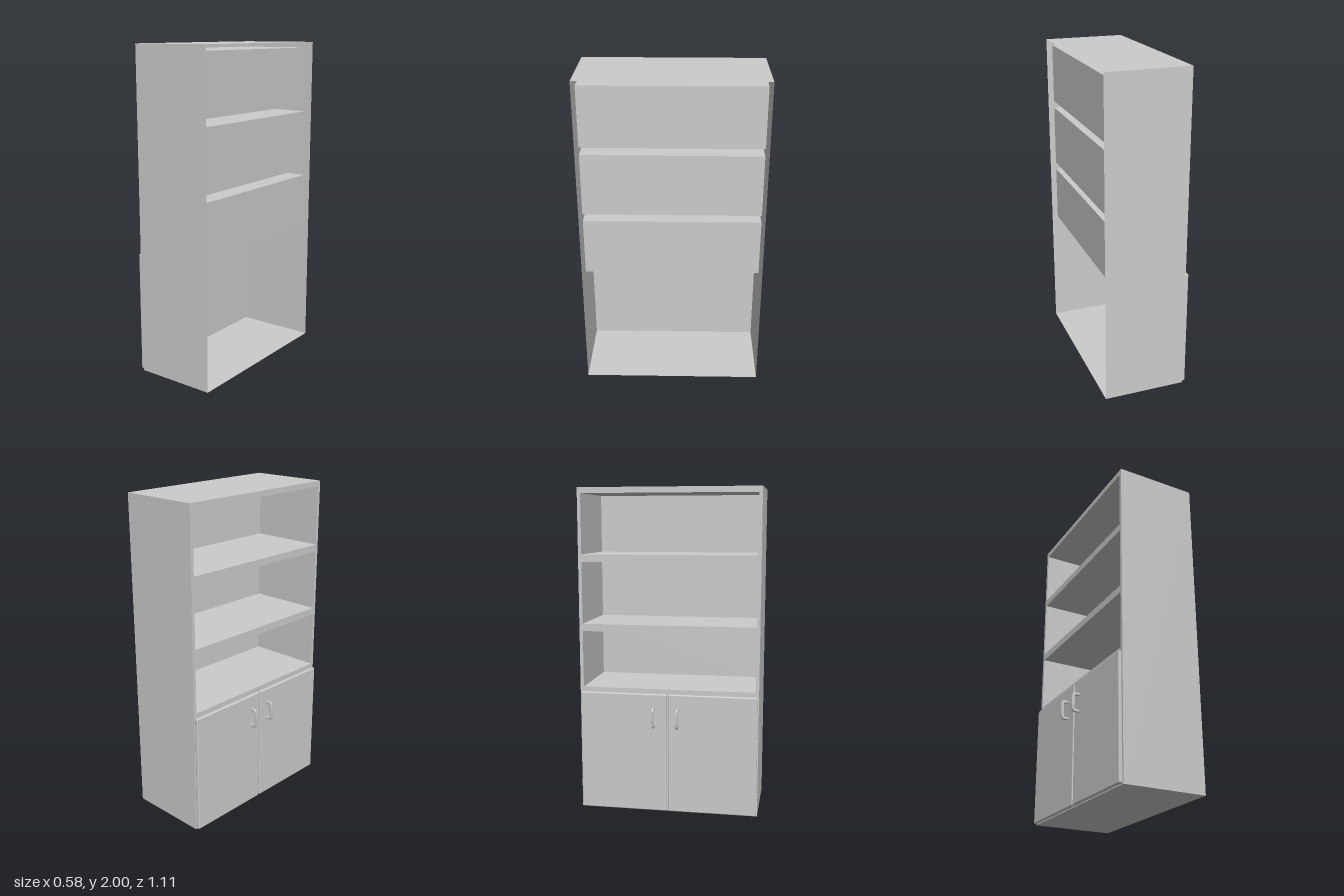
import * as THREE from 'three';
import { RoundedBoxGeometry } from 'three/addons/geometries/RoundedBoxGeometry.js';

const FRONT = -0.22, BACK = 0.288, HALF = 0.556, HEIGHT = 2;
const CELL_HALF = 0.535, CELL_BACK = 0.256;
const CELLS = [[0.78, 1.13], [1.175, 1.555], [1.6, 1.965]];

const solid = new THREE.MeshStandardMaterial({ color: 0xcccccc });
const sheet = new THREE.MeshStandardMaterial({ color: 0xcccccc, side: THREE.DoubleSide });

// Thin-walled box that keeps only the listed sides (0 +x, 1 -x, 2 +y, 3 -y, 4 +z, 5 -z)
function openBox(x0, x1, y0, y1, half, sides) {
  const g = new THREE.BoxGeometry(x1 - x0, y1 - y0, half * 2);
  const index = Array.from(g.index.array);
  g.setIndex(sides.flatMap((s) => index.slice(s * 6, s * 6 + 6)));
  g.clearGroups();
  return g.translate((x0 + x1) / 2, (y0 + y1) / 2, 0);
}

function rectangle(target, half, y0, y1) {
  target.moveTo(-half, y0);
  target.lineTo(half, y0);
  target.lineTo(half, y1);
  target.lineTo(-half, y1);
  target.closePath();
  return target;
}

export function createModel() {
  const group = new THREE.Group();
  const add = (name, geometry, material = solid) => {
    const mesh = new THREE.Mesh(geometry, material);
    mesh.name = name;
    group.add(mesh);
    return mesh;
  };

  // Outer case: sides, top and bottom, open at the back
  add('case', openBox(FRONT, BACK, 0, HEIGHT, HALF, [2, 3, 4, 5]), sheet);

  // Face frame with one opening per shelf compartment
  const frame = rectangle(new THREE.Shape(), HALF, 0, HEIGHT);
  for (const [y0, y1] of CELLS) frame.holes.push(rectangle(new THREE.Path(), CELL_HALF, y0, y1));
  const frameGeometry = new THREE.ShapeGeometry(frame);
  frameGeometry.rotateY(-Math.PI / 2).translate(FRONT, 0, 0);
  add('faceFrame', frameGeometry, sheet);

  // Shelf compartments, open towards the face frame
  CELLS.forEach(([y0, y1], i) => {
    add('shelfCompartment' + (i + 1), openBox(FRONT, CELL_BACK, y0, y1, CELL_HALF, [0, 2, 3, 4, 5]), sheet);
  });

  // Handle outline: a bracket with rounded outer corners
  const bracket = new THREE.Shape();
  bracket.moveTo(-0.238, 0.545);
  bracket.lineTo(-0.268, 0.545);
  bracket.quadraticCurveTo(-0.284, 0.546, -0.287, 0.568);
  bracket.quadraticCurveTo(-0.291, 0.607, -0.287, 0.646);
  bracket.quadraticCurveTo(-0.284, 0.668, -0.268, 0.669);
  bracket.lineTo(-0.238, 0.669);
  bracket.lineTo(-0.238, 0.652);
  bracket.lineTo(-0.262, 0.652);
  bracket.quadraticCurveTo(-0.271, 0.65, -0.271, 0.64);
  bracket.lineTo(-0.271, 0.574);
  bracket.quadraticCurveTo(-0.271, 0.564, -0.262, 0.562);
  bracket.lineTo(-0.238, 0.562);
  bracket.closePath();
  const handleGeometry = new THREE.ExtrudeGeometry(bracket, {
    depth: 0.009, bevelThickness: 0.003, bevelSize: 0.003, bevelOffset: -0.003, bevelSegments: 2, curveSegments: 8,
  }).translate(0, 0, -0.0045);

  // Two doors with their handles
  for (const [side, z0, z1, handleZ] of [['first', -0.55, -0.006, -0.086], ['second', 0.002, 0.55, 0.062]]) {
    const door = new RoundedBoxGeometry(0.022, 0.747, z1 - z0, 3, 0.007);
    add(side + 'Door', door.translate(FRONT - 0.011, 0.3785, (z0 + z1) / 2));
    add(side + 'Handle', handleGeometry).position.z = handleZ;
  }

  return group;
}
